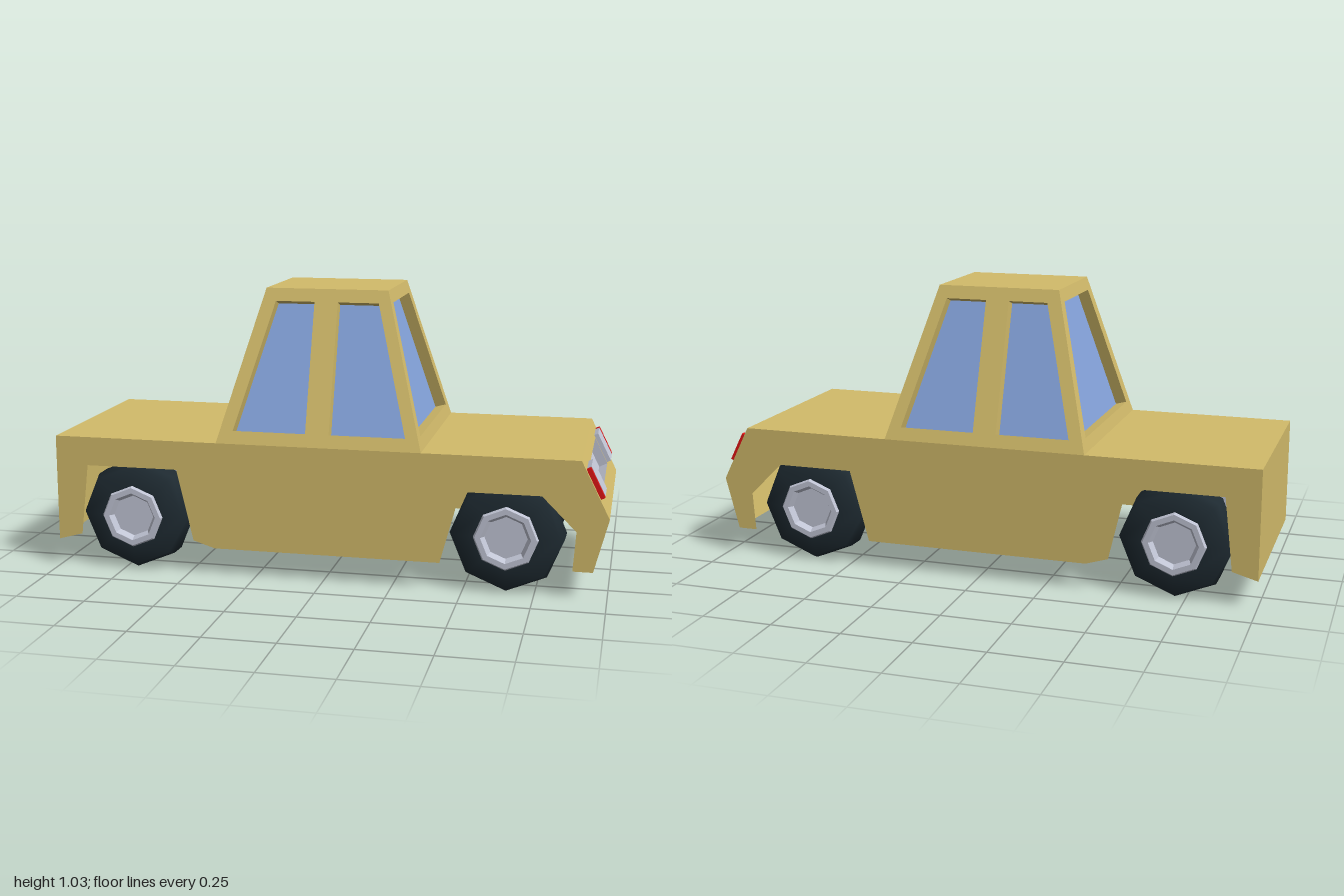
import * as THREE from 'three';

const make = (name, hex, side = THREE.FrontSide) => {
  const m = new THREE.MeshStandardMaterial({ color: hex, side });
  m.name = name;
  return m;
};

export function createModel() {
  const paint = make('ochre paint', 0xd2bb6a, THREE.DoubleSide);
  const glass = make('blue glass', 0x86a5de, THREE.DoubleSide);
  const silver = make('silver', 0xc2c6d6, THREE.DoubleSide);
  const rubber = make('tyre rubber', 0x1e2a31);
  const red = make('red lens', 0xe01414);

  const car = new THREE.Group();
  car.name = 'car';
  const add = (name, geometry, material, parent = car) => {
    const mesh = new THREE.Mesh(geometry, material);
    mesh.name = name;
    parent.add(mesh);
    return mesh;
  };
  const shapeOf = pts => new THREE.Shape(pts.map(p => new THREE.Vector2(...p)));

  // Upright panel of (horizontal, height) points, at distance dist at height y0,
  // leaning inward by lean per unit of height and turned by yaw.
  // Each hole gets a reveal of the given depth and a pane at its bottom.
  function panel(name, yaw, dist, y0, lean, outline, holes = [], depth = 0, reveal = paint, pane = glass) {
    const group = new THREE.Group();
    group.name = name;
    group.rotation.y = yaw;
    car.add(group);
    const len = Math.hypot(1, lean);
    const place = (x, y, d) => [x, y - d * lean / len, dist - lean * (y - y0) - d / len];
    const flat = (shape, d) => {
      const g = new THREE.ShapeGeometry(shape);
      const p = g.attributes.position;
      for (let i = 0; i < p.count; i++) p.setXYZ(i, ...place(p.getX(i), p.getY(i), d));
      g.computeVertexNormals();
      return g;
    };
    const shape = shapeOf(outline);
    holes.forEach(h => shape.holes.push(new THREE.Path(h.map(p => new THREE.Vector2(...p)))));
    add(name + 'Skin', flat(shape, 0), paint, group);
    for (const h of holes) {
      const verts = [];
      h.forEach((a, i) => {
        const b = h[(i + 1) % h.length];
        const [A, B, C, D] = [place(...a, 0), place(...b, 0), place(...b, depth), place(...a, depth)];
        verts.push(...A, ...B, ...C, ...A, ...C, ...D);
      });
      const g = new THREE.BufferGeometry();
      g.setAttribute('position', new THREE.Float32BufferAttribute(verts, 3));
      g.computeVertexNormals();
      add(name + 'Reveal', g, reveal, group);
      add(name + 'Pane', flat(shapeOf(h), depth), pane, group);
    }
  }
  const flip = pts => pts.map(([x, y]) => [-x, y]).reverse();
  const trapezoid = (b, y0, t, y1) => [[-b, y0], [b, y0], [t, y1], [-t, y1]];

  const W = 0.37, deckY = 0.49, roofY = 1.03;

  // Body sides with wheel arches
  const side = [
    [-1, 0.1], [-0.91, 0.125], [-0.88, 0.385], [-0.54, 0.385], [-0.48, 0.125], [-0.4, 0.1],
    [0.42, 0.1], [0.49, 0.36], [0.77, 0.36], [0.89, 0.24], [0.88, 0.1], [0.95, 0.1],
    [1, 0.29], [0.9, deckY], [-1, deckY],
  ];
  panel('leftBodySide', 0, W, 0, 0, side);
  panel('rightBodySide', Math.PI, W, 0, 0, flip(side));

  // Tail, lower nose and sloping nose with a recessed grille
  panel('tailPanel', -Math.PI / 2, 1, 0, 0, trapezoid(W, 0.1, W, deckY));
  panel('lowerNose', Math.PI / 2, 1, 0.29, -0.05 / 0.19, trapezoid(W, 0.1, W, 0.29));
  panel('upperNose', Math.PI / 2, 1, 0.29, 0.5, trapezoid(W, 0.29, W, deckY),
    [trapezoid(0.21, 0.352, 0.21, 0.448)], 0.033, silver, silver);

  // Flat decks and roof
  const deck = (name, x0, x1, halfZ, y) => add(name,
    new THREE.PlaneGeometry(x1 - x0, halfZ * 2).rotateX(-Math.PI / 2).translate((x0 + x1) / 2, y, 0), paint);
  deck('rearDeck', -1, -0.39, W, deckY);
  deck('bonnet', 0.35, 0.9, W, deckY);
  deck('roof', -0.245, 0.2, 0.19, roofY);

  // Tapered cabin with inset windows
  const rise = roofY - deckY, inset = 0.042;
  const cabinSide = [[-0.39, deckY], [0.35, deckY], [0.2, roofY], [-0.245, roofY]];
  const sideWindows = [
    [[-0.33, 0.535], [-0.065, 0.535], [-0.065, 0.985], [-0.207, 0.985]],
    [[0.02, 0.535], [0.292, 0.535], [0.168, 0.985], [0.02, 0.985]],
  ];
  const cabinEnd = trapezoid(W, deckY, 0.19, roofY);
  const endWindow = [trapezoid(0.305, 0.535, 0.16, 0.985)];
  panel('leftCabinSide', 0, W, deckY, 0.18 / rise, cabinSide, sideWindows, inset);
  panel('rightCabinSide', Math.PI, W, deckY, 0.18 / rise, flip(cabinSide), sideWindows.map(flip), inset);
  panel('windscreen', Math.PI / 2, 0.35, deckY, 0.15 / rise, cabinEnd, endWindow, inset);
  panel('rearWindow', -Math.PI / 2, 0.39, deckY, 0.145 / rise, cabinEnd, endWindow, inset);

  // Headlamps and red side lenses standing proud of the nose
  const lamps = new THREE.Group();
  lamps.name = 'lamps';
  lamps.position.set(0.942, 0.406, 0);
  lamps.rotation.set(0, Math.PI / 2, 0);
  car.add(lamps);
  const slope = -Math.atan(0.5);
  for (const s of [-1, 1]) {
    add('headlamp', new THREE.BoxGeometry(0.112, 0.114, 0.016).translate(0, 0, 0.008)
      .rotateX(slope).translate(s * 0.272, 0, 0), silver, lamps);
    add('redLens', new THREE.BoxGeometry(0.018, 0.114, 0.016).translate(0, 0, 0.008)
      .rotateX(slope).translate(s * 0.346, 0, 0), red, lamps);
  }

  // Eight-sided wheels
  const lathe = pts => new THREE.LatheGeometry(pts.map(p => new THREE.Vector2(...p)), 8).rotateX(Math.PI / 2);
  const tyre = lathe([[0.11, 0.253], [0.202, 0.253], [0.202, 0.254], [0.201, 0.33],
    [0.186, 0.36], [0.12, 0.372], [0.108, 0.37]]);
  const hub = lathe([[0, 0.262], [0.112, 0.262], [0.114, 0.375], [0.108, 0.383],
    [0.088, 0.383], [0.075, 0.362], [0, 0.362]]).toNonIndexed();
  hub.computeVertexNormals();
  for (const [end, x] of [['front', 0.65], ['rear', -0.71]]) {
    for (const [flank, yaw] of [['Left', 0], ['Right', Math.PI]]) {
      const wheel = new THREE.Group();
      wheel.name = end + flank + 'Wheel';
      wheel.position.set(x, 0.203, 0);
      wheel.rotation.y = yaw;
      add('tyre', tyre, rubber, wheel);
      add('hub', hub, silver, wheel);
      car.add(wheel);
    }
  }
  return car;
}
